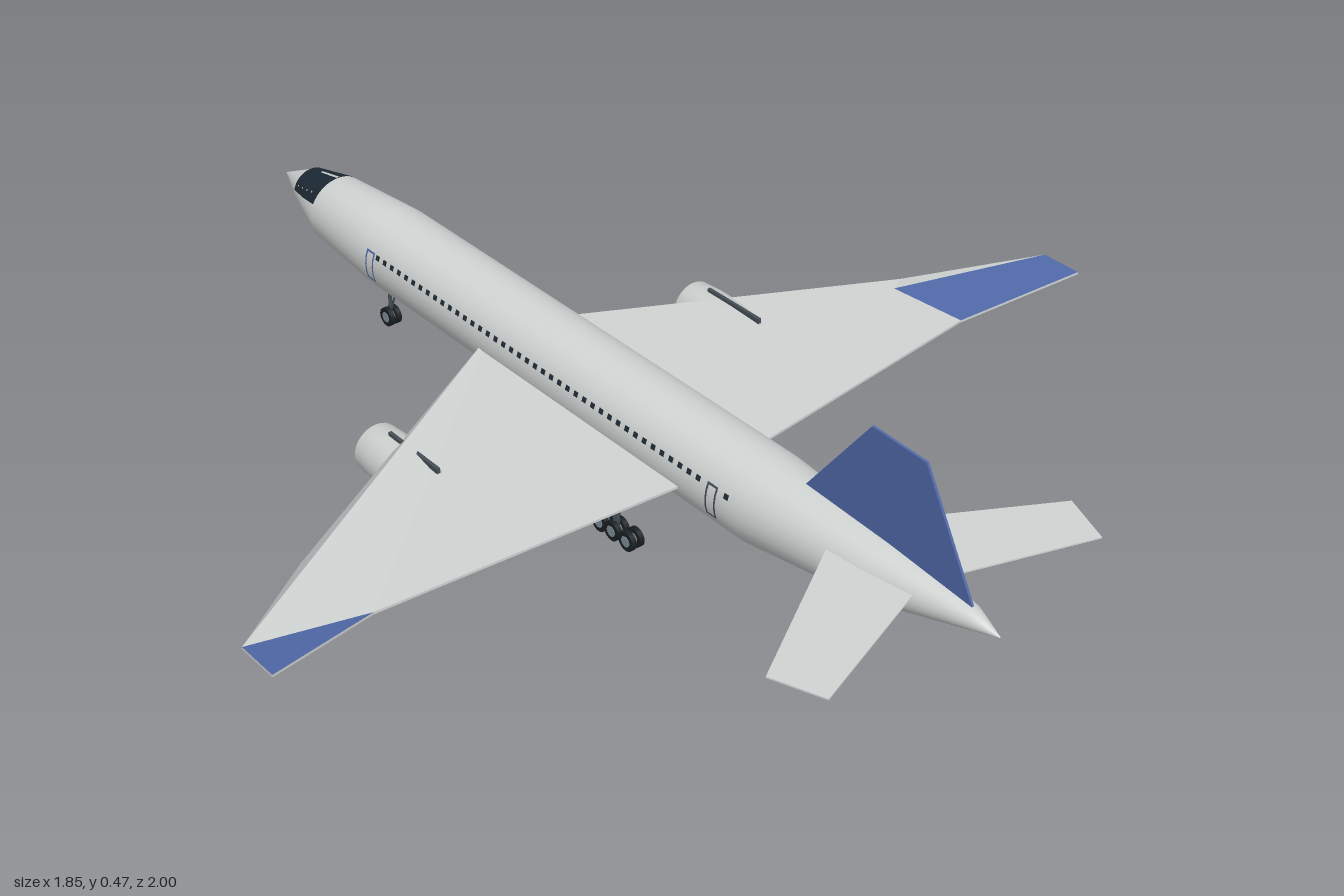
import * as THREE from 'three';
import { mergeGeometries } from 'three/addons/utils/BufferGeometryUtils.js';

const paint = (name, color, side = THREE.FrontSide) => {
  const m = new THREE.MeshStandardMaterial({ color, side });
  m.name = name;
  return m;
};

// Fuselage stations: z, centre height, radius
const HULL = [
  [-1, 0.198, 0.001], [-0.905, 0.203, 0.043], [-0.805, 0.196, 0.071], [-0.61, 0.196, 0.0855],
  [0.48, 0.196, 0.0855], [0.756, 0.209, 0.058], [0.94, 0.229, 0.021], [1, 0.226, 0.001],
];

function hullPoint(z, angle, lift) {
  let i = 0;
  while (i < HULL.length - 2 && z > HULL[i + 1][0]) i++;
  const [a, b] = [HULL[i], HULL[i + 1]];
  const t = (z - a[0]) / (b[0] - a[0]);
  const r = THREE.MathUtils.lerp(a[2], b[2], t) + lift;
  const y = THREE.MathUtils.lerp(a[1], b[1], t);
  return [r * Math.cos(angle), y + r * Math.sin(angle), z];
}

// Skin surface over the given stations; range(z) gives the start and end angle
function hullSkin(stations, range, segments, lift = 0, closed = false) {
  const pos = [], index = [];
  const cols = closed ? segments : segments + 1;
  stations.forEach((z) => {
    const [a0, a1] = range(z);
    for (let j = 0; j < cols; j++) pos.push(...hullPoint(z, a0 + ((a1 - a0) * j) / segments, lift));
  });
  for (let i = 0; i < stations.length - 1; i++) {
    for (let j = 0; j < segments; j++) {
      const k = (j + 1) % cols;
      const a = i * cols + j, b = i * cols + k, c = b + cols, d = a + cols;
      index.push(a, b, c, a, c, d);
    }
  }
  const g = new THREE.BufferGeometry();
  g.setAttribute('position', new THREE.Float32BufferAttribute(pos, 3));
  g.setIndex(index);
  g.computeVertexNormals();
  return g;
}

// Small painted patch on one flank (side 1 is left, -1 is right)
const patch = (side, z0, z1, a0, a1, lift = 0.0008) =>
  hullSkin([z0, z1], () => (side > 0 ? [a0, a1] : [Math.PI - a1, Math.PI - a0]), 4, lift);

// Thin slab: upper faces moved along off, lower faces reversed and moved back, rim around the outline
function slab(upper, lower, rim, off, mirror) {
  const pos = [];
  const face = (pts) => {
    const p = mirror ? pts.map(([x, y, z]) => [-x, y, z]).reverse() : pts;
    for (let i = 1; i < p.length - 1; i++) pos.push(...p[0], ...p[i], ...p[i + 1]);
  };
  const move = (p, s) => p.map((v, i) => v + s * off[i]);
  upper.forEach((f) => face(f.map((p) => move(p, 1))));
  lower.forEach((f) => face(f.map((p) => move(p, -1)).reverse()));
  rim.forEach((a, i) => {
    const b = rim[(i + 1) % rim.length];
    face([move(a, -1), move(b, -1), move(b, 1), move(a, 1)]);
  });
  const g = new THREE.BufferGeometry();
  g.setAttribute('position', new THREE.Float32BufferAttribute(pos, 3));
  g.computeVertexNormals();
  return g;
}

export function createModel() {
  const model = new THREE.Group();
  const white = paint('pale grey skin', 0xd0d4d3);
  const blue = paint('blue trim', 0x5069a8);
  const glass = paint('dark glass', 0x1d2a34);
  const dark = paint('dark metal', 0x454f56);
  const steel = paint('steel', 0x7d8f9a);
  const tyre = paint('tyre rubber', 0x1b2024);
  const nacelle = paint('engine skin', 0xcbcfce, THREE.DoubleSide);

  const add = (name, geometry, material, parent = model) => {
    const mesh = new THREE.Mesh(geometry, material);
    mesh.name = name;
    parent.add(mesh);
    return mesh;
  };
  const rod = (name, a, b, r, material) => {
    const from = new THREE.Vector3(...a), dir = new THREE.Vector3(...b).sub(from);
    const mesh = add(name, new THREE.CylinderGeometry(r, r, dir.length(), 8), material);
    mesh.position.copy(from).addScaledVector(dir, 0.5);
    mesh.quaternion.setFromUnitVectors(new THREE.Vector3(0, 1, 0), dir.normalize());
  };

  // Fuselage and cockpit
  const full = () => [-Math.PI / 2, 1.5 * Math.PI];
  add('fuselage', hullSkin(HULL.map((s) => s[0]), full, 32, 0, true), white);
  const cockpitRange = (z) => {
    const a = THREE.MathUtils.mapLinear(z, -0.9, -0.81, 0.24, 0.48);
    return [a, Math.PI - a];
  };
  add('cockpitWindows', hullSkin([-0.905, -0.855, -0.805], cockpitRange, 16, 0.0015), glass);
  add('cockpitPillar', hullSkin([-0.865, -0.805], () => [1.52, 1.62], 2, 0.003), white);
  const studs = [];
  for (const side of [1, -1]) {
    for (let i = 0; i < 4; i++) {
      const z = -0.83 - i * 0.02, a = 0.72 - i * 0.06;
      studs.push(patch(side, z - 0.002, z + 0.002, a, a + 0.06, 0.003));
    }
  }
  add('cockpitStuds', mergeGeometries(studs), white);

  // Cabin windows and door outlines on both sides
  const windows = [], frontDoors = [], rearDoors = [];
  for (const side of [1, -1]) {
    for (let i = 0; i < 44; i++) {
      const z = 0.455 - i * 0.0235;
      if (Math.abs(z - 0.42) > 0.018) windows.push(patch(side, z - 0.0055, z + 0.0055, 0.28, 0.4));
    }
    for (const [z, list] of [[0.42, rearDoors], [-0.58, frontDoors]]) {
      for (const e of [-0.011, 0.011]) list.push(patch(side, z + e - 0.002, z + e + 0.002, -0.37, 0.41));
      for (const a of [-0.37, 0.36]) list.push(patch(side, z - 0.011, z + 0.011, a, a + 0.05));
    }
  }
  add('cabinWindows', mergeGeometries(windows), glass);
  add('frontDoorFrames', mergeGeometries(frontDoors), blue);
  add('rearDoorFrames', mergeGeometries(rearDoors), dark);

  // Wings: folded at the winglet, except the right upper face, which slopes from root to tip
  const rootLead = [0.04, 0.178, -0.254], rootTrail = [0.04, 0.178, 0.34];
  const kinkLead = [0.705, 0.178, 0.1], kinkTrail = [0.685, 0.178, 0.28], trimLead = [0.67, 0.178, 0.117];
  const tipLead = [0.925, 0.229, 0.272], tipTrail = [0.925, 0.229, 0.357];
  const folded = [[rootTrail, kinkTrail, trimLead, kinkLead, rootLead], [trimLead, tipLead, kinkLead]];
  const trimInner = [trimLead, kinkTrail, tipLead], trimOuter = [kinkTrail, tipTrail, tipLead];
  const sloped = [[rootLead, rootTrail, kinkTrail], [rootLead, kinkTrail, tipLead], [rootLead, tipLead, kinkLead]];
  const wingRim = [rootLead, rootTrail, kinkTrail, tipTrail, tipLead, kinkLead];
  const up = [0, 0.0025, 0];
  add('leftWing', slab(folded, [...folded, trimInner, trimOuter], wingRim, up, false), white);
  add('leftWingTip', slab([trimInner, trimOuter], [], [], up, false), blue);
  add('rightWing', slab(sloped, [...folded, trimOuter], wingRim, up, true), white);
  add('rightWingTip', slab([trimOuter], [trimInner], [], up, true), blue);

  // Tailplanes and fin
  const tail = [[0.02, 0.232, 0.65], [0.02, 0.232, 0.84], [0.312, 0.232, 0.938], [0.35, 0.232, 0.84]];
  for (const mirror of [false, true]) {
    add(mirror ? 'rightTailplane' : 'leftTailplane', slab([tail], [tail], tail, [0, 0.0015, 0], mirror), white);
  }
  const fin = [[0, 0.235, 0.948], [0, 0.26, 0.551], [0, 0.467, 0.7], [0, 0.462, 0.82]];
  add('tailFin', slab([fin], [fin], fin, [0.0025, 0, 0], false), blue);

  // Engines
  const shell = [[0.036, -0.085], [0.042, -0.09], [0.047, -0.04], [0.0505, 0.03], [0.051, 0.1],
    [0.048, 0.145], [0.045, 0.15], [0.04, 0.146], [0.039, 0.12]].map(([r, y]) => new THREE.Vector2(r, y));
  for (const side of [1, -1]) {
    const engine = new THREE.Group();
    engine.name = side > 0 ? 'leftEngine' : 'rightEngine';
    engine.position.set(side * 0.38, 0.135, 0);
    model.add(engine);
    add('nacelle', new THREE.LatheGeometry(shell, 28), nacelle, engine).rotation.x = -Math.PI / 2;
    const core = add('engineCore', new THREE.CylinderGeometry(0.04, 0.037, 0.22, 24), glass, engine);
    core.rotation.x = -Math.PI / 2;
    core.position.z = -0.026;
    const blades = [];
    for (let i = 0; i < 12; i++) {
      const blade = new THREE.BoxGeometry(0.003, 0.029, 0.003);
      blades.push(blade.translate(0, 0.023, -0.137).rotateZ((i * Math.PI) / 6));
    }
    add('fanBlades', mergeGeometries(blades), steel, engine);
    const spinner = add('spinner', new THREE.ConeGeometry(0.01, 0.014, 16), steel, engine);
    spinner.rotation.x = -Math.PI / 2;
    spinner.position.z = -0.143;
    add('pylon', new THREE.BoxGeometry(0.007, 0.05, 0.145), dark, engine).position.set(0, 0.032, -0.028);
  }

  // Landing gear
  const wheelPair = (x, z, gap) => {
    for (const s of [-1, 1]) {
      const wheel = new THREE.Group();
      wheel.name = 'wheel';
      wheel.position.set(x + s * gap, 0.02, z);
      wheel.rotation.z = Math.PI / 2;
      model.add(wheel);
      add('tyre', new THREE.CylinderGeometry(0.02, 0.02, 0.01, 20), tyre, wheel);
      add('hub', new THREE.CylinderGeometry(0.011, 0.011, 0.012, 14), steel, wheel);
    }
  };
  wheelPair(0, -0.64, 0.008);
  rod('noseStrut', [0, 0.02, -0.64], [0, 0.125, -0.64], 0.004, dark);
  rod('noseBrace', [0, 0.035, -0.637], [0, 0.12, -0.607], 0.002, dark);
  for (const s of [1, -1]) {
    for (const z of [0.165, 0.2, 0.24]) wheelPair(s * 0.105, z, 0.009);
    rod('bogieBeam', [s * 0.105, 0.02, 0.165], [s * 0.105, 0.02, 0.24], 0.004, dark);
    rod('mainStrut', [s * 0.104, 0.02, 0.2], [s * 0.104, 0.178, 0.2], 0.005, dark);
    rod('mainBrace', [s * 0.11, 0.04, 0.2], [s * 0.147, 0.178, 0.2], 0.0025, dark);
  }
  return model;
}
